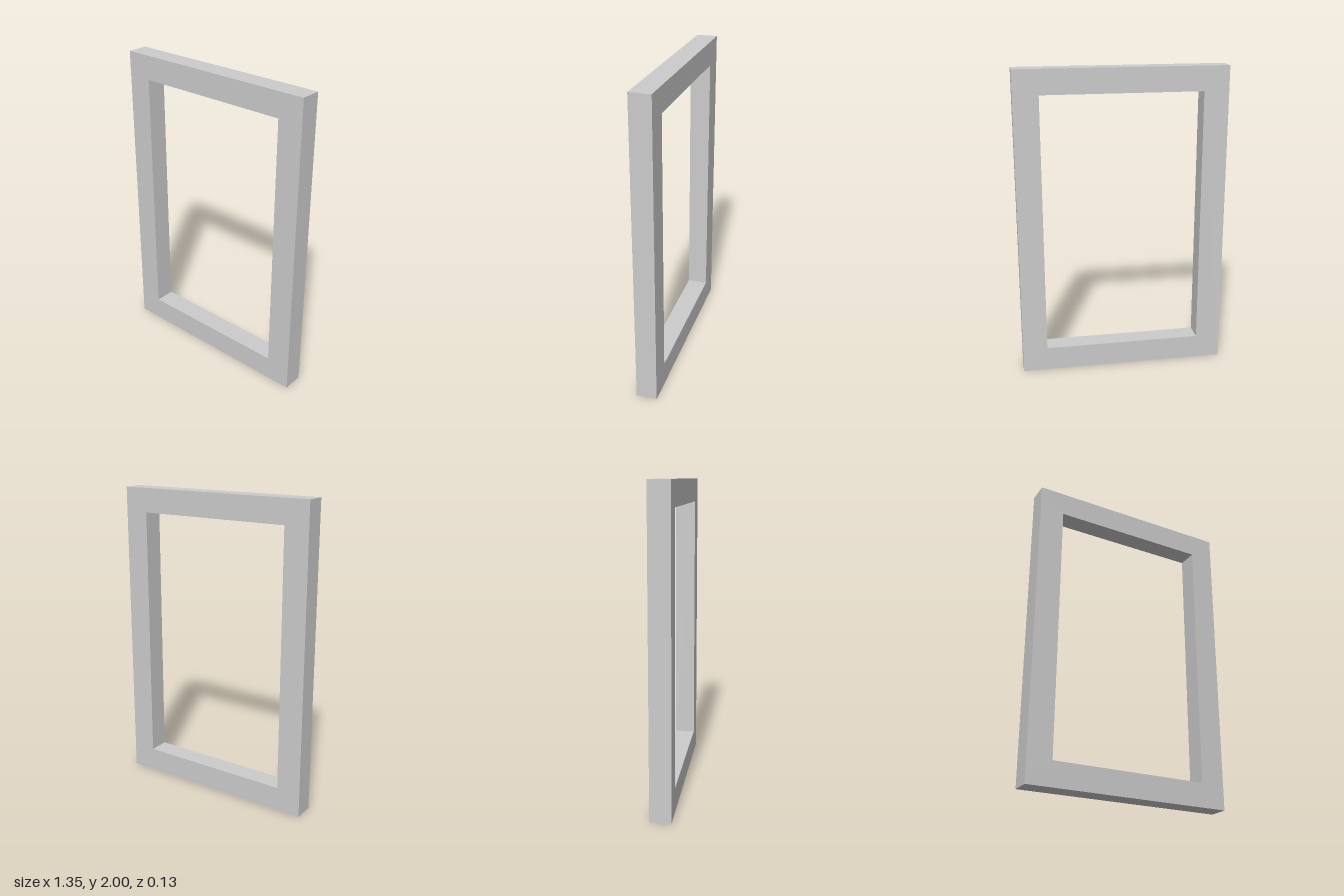
import * as THREE from 'three';

const HALF_WIDTH = 0.675, HEIGHT = 2, BORDER = 0.157, DEPTH = 0.134;

// Rectangle outline from opposite corners
function trace(path, x, y0, y1) {
  path.moveTo(-x, y0);
  path.lineTo(x, y0);
  path.lineTo(x, y1);
  path.lineTo(-x, y1);
  path.closePath();
  return path;
}

export function createModel() {
  const group = new THREE.Group();
  group.name = 'rectangularFrame';

  // Flat slab with a rectangular opening
  const outline = trace(new THREE.Shape(), HALF_WIDTH, 0, HEIGHT);
  outline.holes.push(trace(new THREE.Path(), HALF_WIDTH - BORDER - 0.004, BORDER, HEIGHT - BORDER));
  const geometry = new THREE.ExtrudeGeometry(outline, { depth: DEPTH, bevelEnabled: false });
  geometry.translate(0, 0, -DEPTH / 2);

  const frame = new THREE.Mesh(geometry, new THREE.MeshStandardMaterial({ color: 0xcccccc }));
  frame.name = 'frame';
  group.add(frame);
  return group;
}
